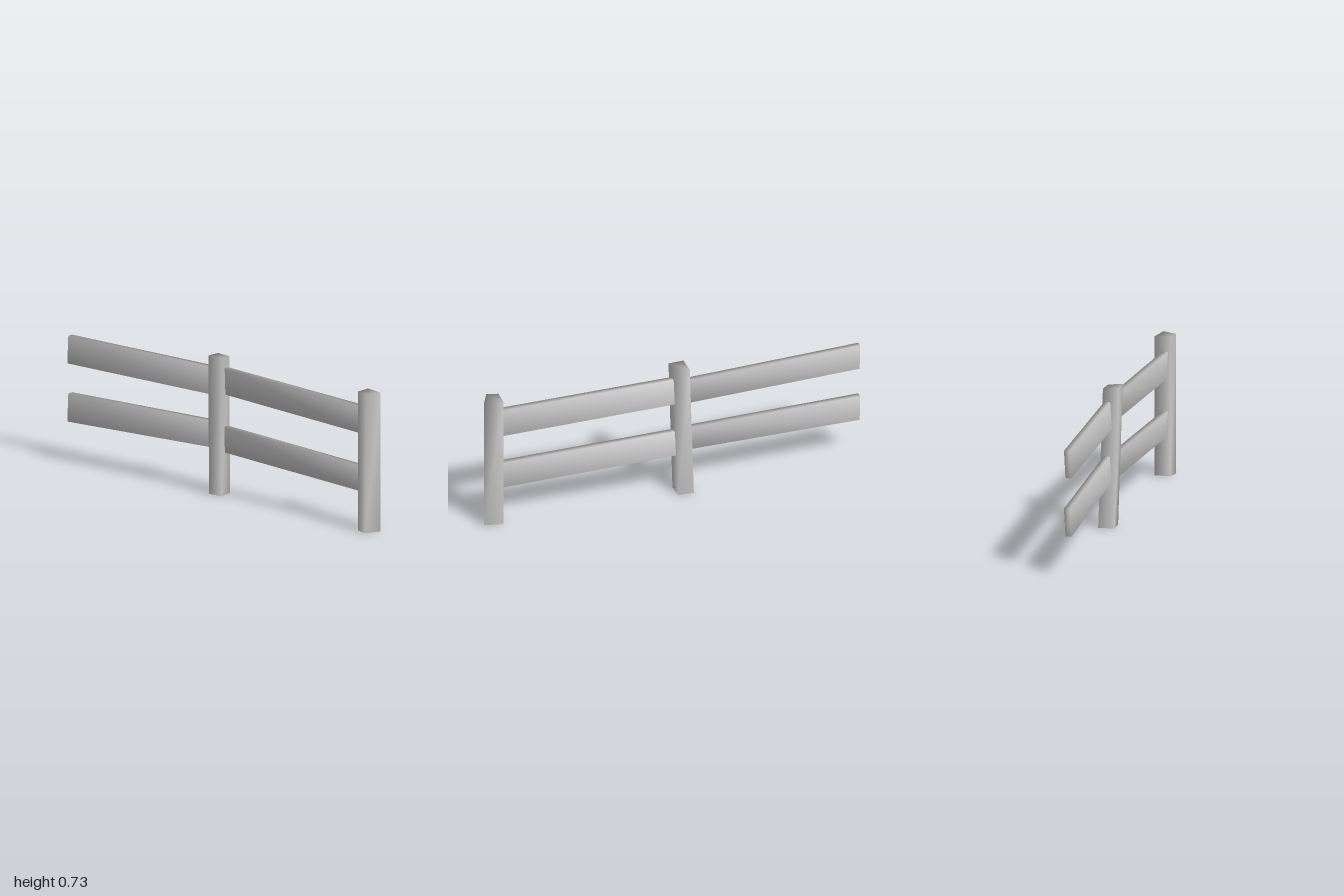
import * as THREE from 'three';

const material = new THREE.MeshStandardMaterial({ color: 0xcccccc, side: THREE.DoubleSide });

// Hand-hewn beam: joins two four-cornered cross-sections with softly shaded sides.
// Corners run anticlockwise seen from the end cap.
function beam(name, start, end, capStart) {
  const index = [4, 5, 6, 4, 6, 7];
  if (capStart) index.push(0, 2, 1, 0, 3, 2);
  for (let i = 0; i < 4; i++) {
    const j = (i + 1) % 4;
    index.push(i, j, j + 4, i, j + 4, i + 4);
  }
  const geometry = new THREE.BufferGeometry();
  geometry.setAttribute('position', new THREE.Float32BufferAttribute([...start, ...end].flat(), 3));
  geometry.setIndex(index);
  geometry.computeVertexNormals();
  const mesh = new THREE.Mesh(geometry, material);
  mesh.name = name;
  return mesh;
}

// Post: footprint corners [x, z], shifted by the lean and tilted at the top; open underneath
function post(name, corners, leanX, leanZ, height, slope) {
  const foot = corners.map(([x, z]) => [x, 0, z]);
  const head = corners.map(([x, z]) => [x + leanX, height - slope * x, z + leanZ]);
  return beam(name, foot, head, false);
}

// Rail end section: centre x, bottom and top heights, sideways tilt of the top
function section(z, x, bottom, top, tilt) {
  const w = 0.015, t = tilt / 2;
  return [[x - w - t, bottom, z], [x - w + t, top, z], [x + w + t, top, z], [x + w - t, bottom, z]];
}

export function createModel() {
  const group = new THREE.Group();
  group.name = 'fence';

  // Upright posts
  group.add(
    post('frontPost', [[-0.063, 0.96], [0.012, 0.998], [0.032, 0.9], [-0.048, 0.9]], 0, 0, 0.728, 0.03),
    post('middlePost', [[-0.018, -0.012], [0.056, -0.018], [0.063, -0.098], [-0.02, -0.092]], -0.021, 0.014, 0.73, 0.08)
  );

  // Rails: [name, end nearer the back, end nearer the front]
  const rails = [
    ['frontUpperRail', [-0.02, 0.015, 0.53, 0.67, -0.01], [0.91, -0.018, 0.505, 0.65, -0.01]],
    ['frontLowerRail', [-0.02, 0.018, 0.225, 0.362, -0.008], [0.91, -0.016, 0.2, 0.337, -0.012]],
    ['backUpperRail', [-1, -0.016, 0.515, 0.657, 0.008], [-0.08, 0.015, 0.517, 0.657, 0.01]],
    ['backLowerRail', [-1, -0.016, 0.21, 0.355, 0.008], [-0.08, 0.016, 0.24, 0.375, 0.01]],
  ];
  for (const [name, back, front] of rails) {
    // Reversed corner order keeps every face turned outward
    group.add(beam(name, section(...back).reverse(), section(...front).reverse(), true));
  }
  return group;
}
